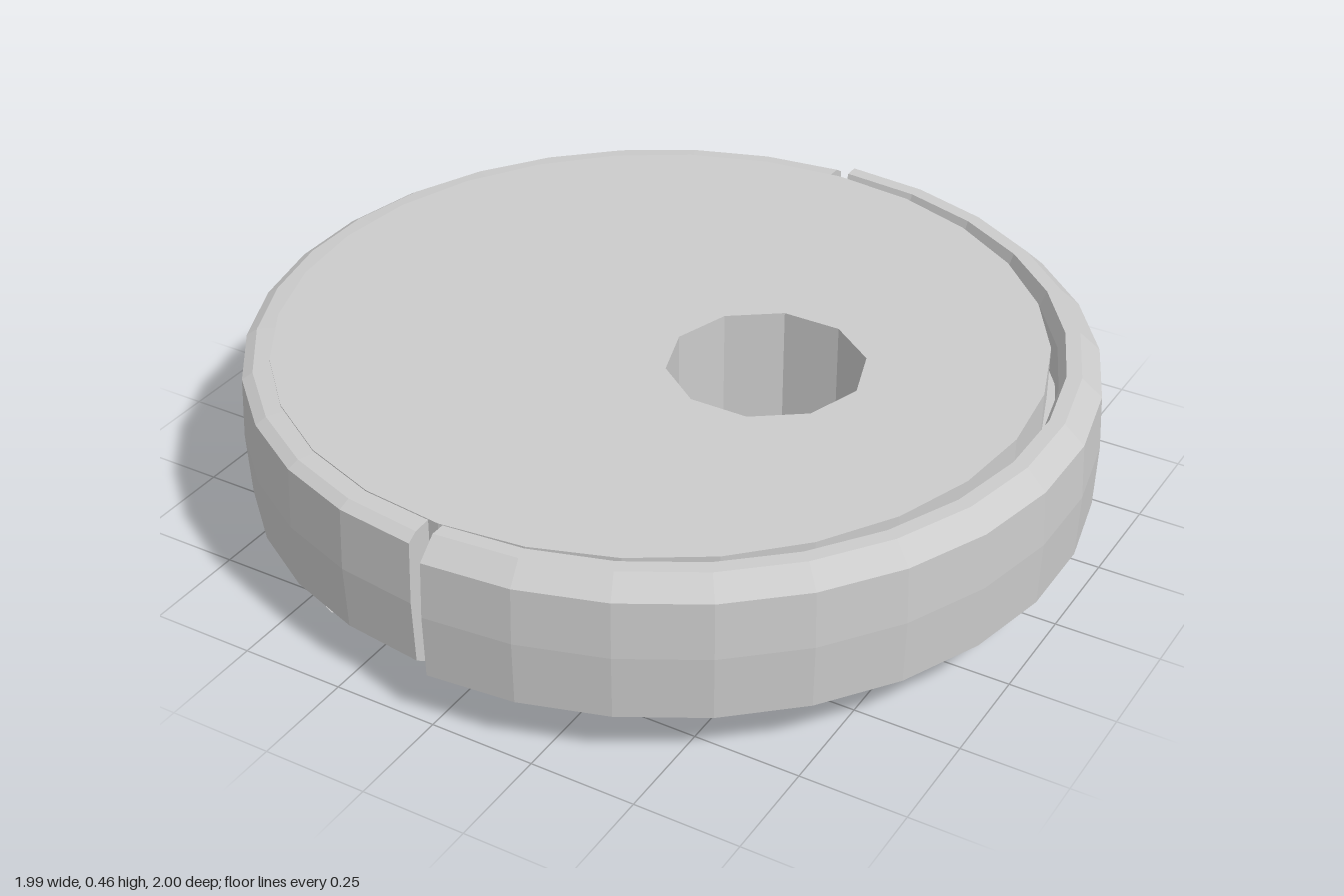
import * as THREE from 'three';

const grey = new THREE.MeshStandardMaterial({ color: 0xcccccc, flatShading: true });
const grey2 = new THREE.MeshStandardMaterial({ color: 0xcccccc, flatShading: true, side: THREE.DoubleSide });
const v2 = (list) => list.map(([a, b]) => new THREE.Vector2(a, b));

// Regular polygon, used for circles with a chosen number of sides
function polygon(radius, sides, cx = 0) {
  return Array.from({ length: sides }, (_, i) => {
    const a = (i / sides) * Math.PI * 2;
    return new THREE.Vector2(cx + radius * Math.cos(a), radius * Math.sin(a));
  });
}

// Slab whose outline lies in the x-z plane, between two heights
function slab(name, points, holes, bottom, top) {
  const shape = new THREE.Shape(points);
  holes.forEach((h) => shape.holes.push(new THREE.Path(h)));
  const g = new THREE.ExtrudeGeometry(shape, { depth: top - bottom, bevelEnabled: false });
  g.rotateX(Math.PI / 2).translate(0, top, 0);
  const m = new THREE.Mesh(g, grey);
  m.name = name;
  return m;
}

// Part of a ring swept round the y axis, with both ends capped
function arcRing(name, profile, start, length, segments) {
  const group = new THREE.Group();
  group.name = name;
  const pts = v2(profile);
  group.add(new THREE.Mesh(new THREE.LatheGeometry([...pts, pts[0]], segments, start, length), grey));
  for (const phi of [start, start + length]) {
    const cap = new THREE.Mesh(new THREE.ShapeGeometry(new THREE.Shape(pts)), grey2);
    cap.rotation.y = phi - Math.PI / 2;
    group.add(cap);
  }
  group.children.forEach((c, i) => { c.name = name + (i ? 'End' : 'Sweep'); });
  return group;
}

export function createModel() {
  const model = new THREE.Group();
  model.name = 'robotVacuum';
  const shift = -0.03; // the main body sits slightly behind the bumper

  // Stepped wheel wells, one on each side
  const well = [[0.42, 0.45], [0.42, 0.75], [0.2, 0.85], [0, 0.87], [-0.27, 0.82], [-0.27, 0.61], [0.08, 0.61], [0.08, 0.45]];
  const wells = [1, -1].map((s) => v2(well.map(([x, z]) => [x, z * s])));

  // Top cover and chassis share the round pocket
  const pocket = polygon(0.23, 10, 0.25);
  model.add(slab('topCover', polygon(0.9, 28, shift), [pocket], 0.32, 0.452));
  model.add(slab('chassis', polygon(0.91, 28), [pocket, ...wells], 0.09, 0.32));
  model.add(slab('pocketFloor', polygon(0.23, 10, 0.25), [], 0.08, 0.12));

  // Rear shell
  const shell = arcRing('rearShell', [
    [0.87, 0.092], [0.93, 0.1], [0.965, 0.125], [0.972, 0.28], [0.965, 0.43], [0.94, 0.446], [0.87, 0.452],
  ], Math.PI + 0.03, Math.PI - 0.06, 15);
  shell.position.x = shift;
  model.add(shell);

  // Front bumper, standing a little proud of the body
  model.add(arcRing('bumper', [
    [0.9, 0.092], [0.96, 0.1], [0.995, 0.125], [1, 0.28], [0.993, 0.415], [0.945, 0.46], [0.91, 0.46], [0.895, 0.42],
  ], -0.012, Math.PI + 0.024, 15));

  // Bottom plate, notched round the wells
  const side = [[0.42, 0.45], [0.08, 0.45], [0.08, 0.61], [-0.27, 0.61], [-0.27, 0.76]];
  const back = [];
  for (let i = 1; i < 10; i++) {
    const a = Math.PI / 2 + 0.34 + (i / 10) * (Math.PI - 0.68);
    back.push([0.8 * Math.cos(a), 0.8 * Math.sin(a)]);
  }
  const mirrored = side.map(([x, z]) => [x, -z]).reverse();
  const nose = [[0.62, -0.42], [0.73, -0.2], [0.75, 0], [0.73, 0.2], [0.62, 0.42]];
  model.add(slab('bottomPlate', v2([...side, ...back, ...mirrored, ...nose]), [], 0.05, 0.091));

  // Sloping skirts joining the plate to the rim, behind and in front
  const skirts = [
    ['rearSkirt', [[0.79, 0.05], [0.97, 0.125]], Math.PI + 0.32, Math.PI - 0.64, 12],
    ['frontSkirt', [[0.73, 0.05], [0.92, 0.093]], 0.98, Math.PI - 1.96, 6],
  ];
  for (const [name, profile, start, length, n] of skirts) {
    const skirt = new THREE.Mesh(new THREE.LatheGeometry(v2(profile), n, start, length), grey2);
    skirt.name = name;
    if (name === 'rearSkirt') skirt.position.x = -0.01;
    model.add(skirt);
  }

  // Slim posts inside the wells
  for (const s of [1, -1]) {
    for (const [x, z] of [[0.3, 0.6], [-0.1, 0.74]]) {
      const post = new THREE.Mesh(new THREE.BoxGeometry(0.03, 0.22, 0.03), grey);
      post.name = 'wellPost';
      post.position.set(x, 0.21, z * s);
      model.add(post);
    }
  }

  // Side brush mount
  const mount = new THREE.Mesh(new THREE.CylinderGeometry(0.15, 0.11, 0.03, 8), grey);
  mount.name = 'brushMount';
  mount.position.set(0.53, 0.08, -0.64);
  model.add(mount);

  // Caster wheel and its housing
  const housing = new THREE.Mesh(new THREE.CylinderGeometry(0.11, 0.07, 0.025, 8), grey);
  housing.name = 'casterHousing';
  housing.position.set(0.64, 0.044, 0);
  const wheel = new THREE.Mesh(new THREE.CylinderGeometry(0.045, 0.045, 0.1, 8).rotateX(Math.PI / 2), grey);
  wheel.name = 'casterWheel';
  wheel.position.set(0.63, 0.045, 0);
  model.add(housing, wheel);

  return model;
}
